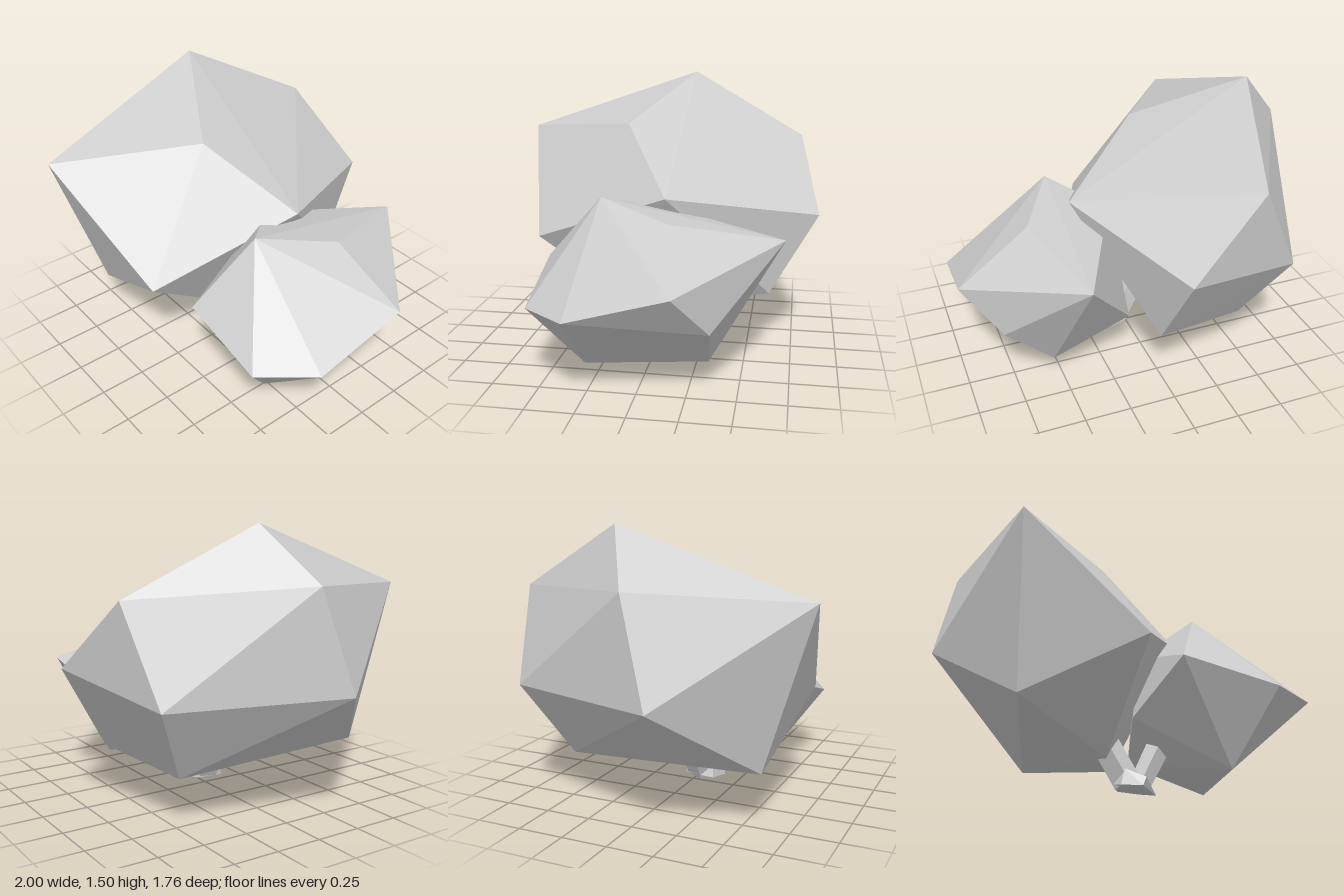
import * as THREE from 'three';
import { ConvexGeometry } from 'three/addons/geometries/ConvexGeometry.js';

const material = new THREE.MeshStandardMaterial({ color: 0xcccccc, flatShading: true });

// Faceted leaf clump spanned by a few corner points
function clump(name, corners) {
  const mesh = new THREE.Mesh(new ConvexGeometry(corners.map(p => new THREE.Vector3(...p))), material);
  mesh.name = name;
  return mesh;
}

// Five-sided tapered limb between two points
function limb(name, from, to, r0, r1) {
  const a = new THREE.Vector3(...from), b = new THREE.Vector3(...to);
  const dir = b.clone().sub(a);
  const mesh = new THREE.Mesh(new THREE.CylinderGeometry(r1, r0, dir.length(), 5), material);
  mesh.position.copy(a).add(b).multiplyScalar(0.5);
  mesh.quaternion.setFromUnitVectors(new THREE.Vector3(0, 1, 0), dir.normalize());
  mesh.name = name;
  return mesh;
}

export function createModel() {
  const tree = new THREE.Group();
  tree.name = 'tree';

  // Large crown, from the top down
  tree.add(clump('largeFoliage', [
    [-0.65, 1.5, -0.12], [-0.1, 1.24, 0.2], [-0.55, 1.16, 0.88], [-0.92, 1.21, 0.05],
    [-0.45, 1.15, -0.77], [0.35, 0.91, -0.08], [0.09, 0.61, 0.69], [-1, 0.67, 0.21],
    [-0.02, 0.77, -0.88], [-0.69, 0.65, -0.69], [-0.54, 0.3, 0.61], [-0.07, 0.16, 0.13],
    [-0.5, 0.25, -0.48], [0.03, 0.32, -0.62],
  ]));

  // Small crown, its inner side sunk into the large one
  tree.add(clump('smallFoliage', [
    [0.39, 0.92, 0.25], [0.6, 0.84, -0.14], [1, 0.59, -0.21], [0.98, 0.44, 0.31],
    [0.75, 0.42, 0.56], [0.27, 0.56, 0.57], [0.55, 0.06, 0.31], [0.43, 0.74, -0.71],
    [0.81, 0.36, -0.37], [0.54, 0.11, -0.34], [0.1, 0.27, -0.33], [0.07, 0.38, 0.15],
    [0.12, 0.82, -0.05],
  ]));

  // Short trunk foot and its two branches
  tree.add(clump('trunk', [
    [0.01, 0.02, 0.12], [0.12, 0.01, 0.15], [0.21, 0, 0], [0.13, 0.03, -0.09], [0.01, 0.03, -0.05],
    [-0.03, 0.04, 0.05], [0.03, 0.11, 0.11], [0.14, 0.06, 0.14], [0.18, 0.06, 0],
    [0.12, 0.08, -0.08], [0, 0.12, -0.03],
  ]));
  tree.add(limb('leftwardBranch', [0.05, 0.05, 0.03], [-0.08, 0.28, 0.04], 0.08, 0.08));
  tree.add(limb('rightwardBranch', [0.12, 0.05, 0.01], [0.25, 0.32, -0.02], 0.06, 0.07));

  return tree;
}
